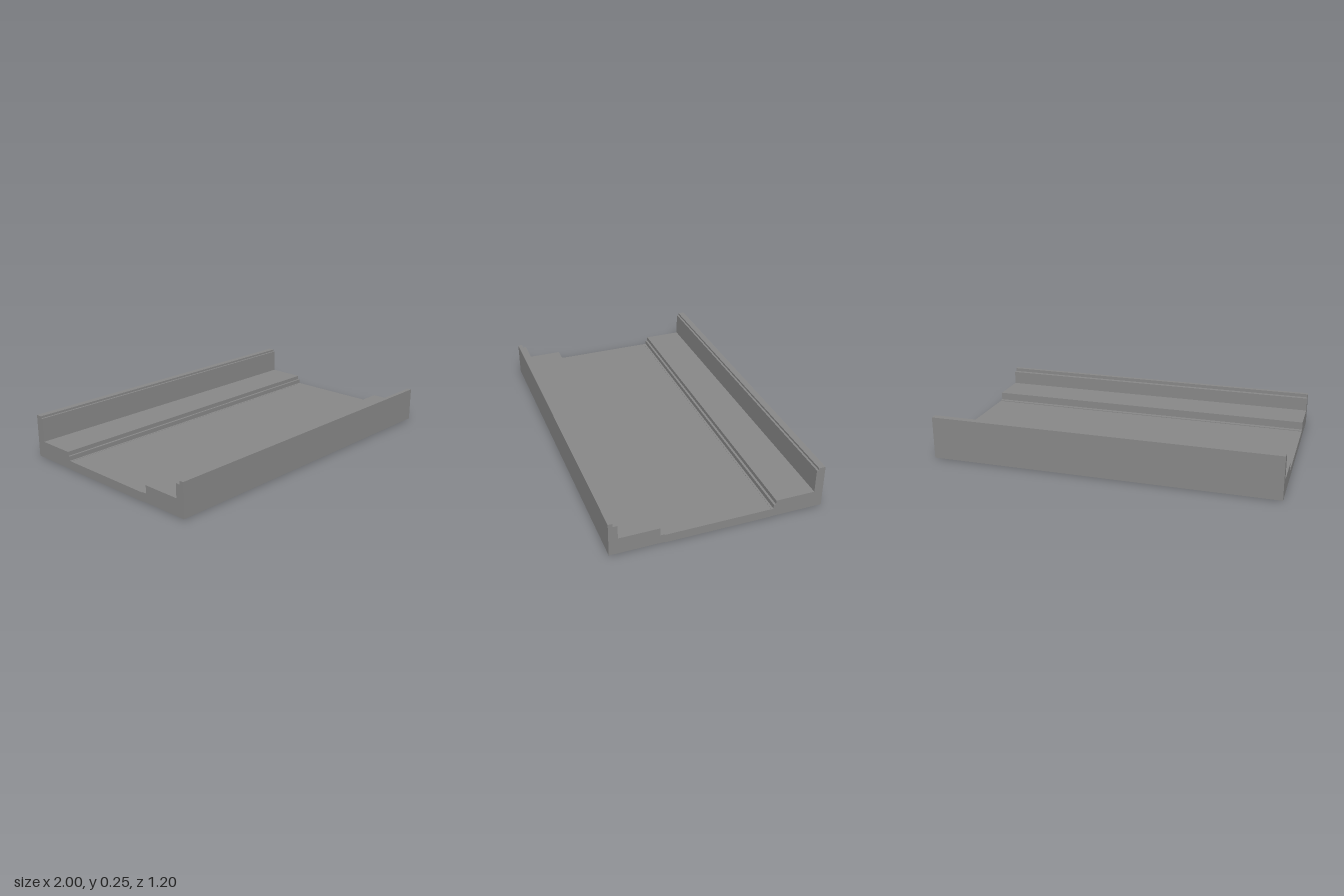
import * as THREE from 'three';

const LENGTH = 2;

// Sweeps a (z, y) cross-section along the whole length in x.
function sweep(name, profile, material) {
  const shape = new THREE.Shape(profile.map(([z, y]) => new THREE.Vector2(z, y)));
  const geometry = new THREE.ExtrudeGeometry(shape, { depth: LENGTH, bevelEnabled: false });
  geometry.rotateY(-Math.PI / 2);
  geometry.translate(LENGTH / 2, 0, 0);
  const mesh = new THREE.Mesh(geometry, material);
  mesh.name = name;
  return mesh;
}

export function createModel() {
  const group = new THREE.Group();
  group.name = 'steppedChannelDeck';
  const material = new THREE.MeshStandardMaterial({ color: 0x888888, flatShading: true });

  // Flat central deck
  group.add(sweep('centralDeck', [[-0.3, 0], [0.3, 0], [0.3, 0.05], [-0.3, 0.05]], material));

  // Front shelf with its low lip and stepped outer wall
  group.add(sweep('frontShelf', [
    [0.3, 0.004], [0.6, 0.004], [0.6, 0.2], [0.575, 0.2], [0.575, 0.18],
    [0.55, 0.18], [0.55, 0.1], [0.325, 0.1], [0.325, 0.054], [0.3, 0.054],
  ], material));

  // Back shelf with its small steps and taller outer wall
  group.add(sweep('backShelf', [
    [-0.3, 0.002], [-0.3, 0.051], [-0.312, 0.051], [-0.312, 0.076], [-0.325, 0.076],
    [-0.325, 0.1], [-0.55, 0.1], [-0.55, 0.238], [-0.562, 0.238], [-0.562, 0.25],
    [-0.6, 0.25], [-0.6, 0.002],
  ], material));

  return group;
}
